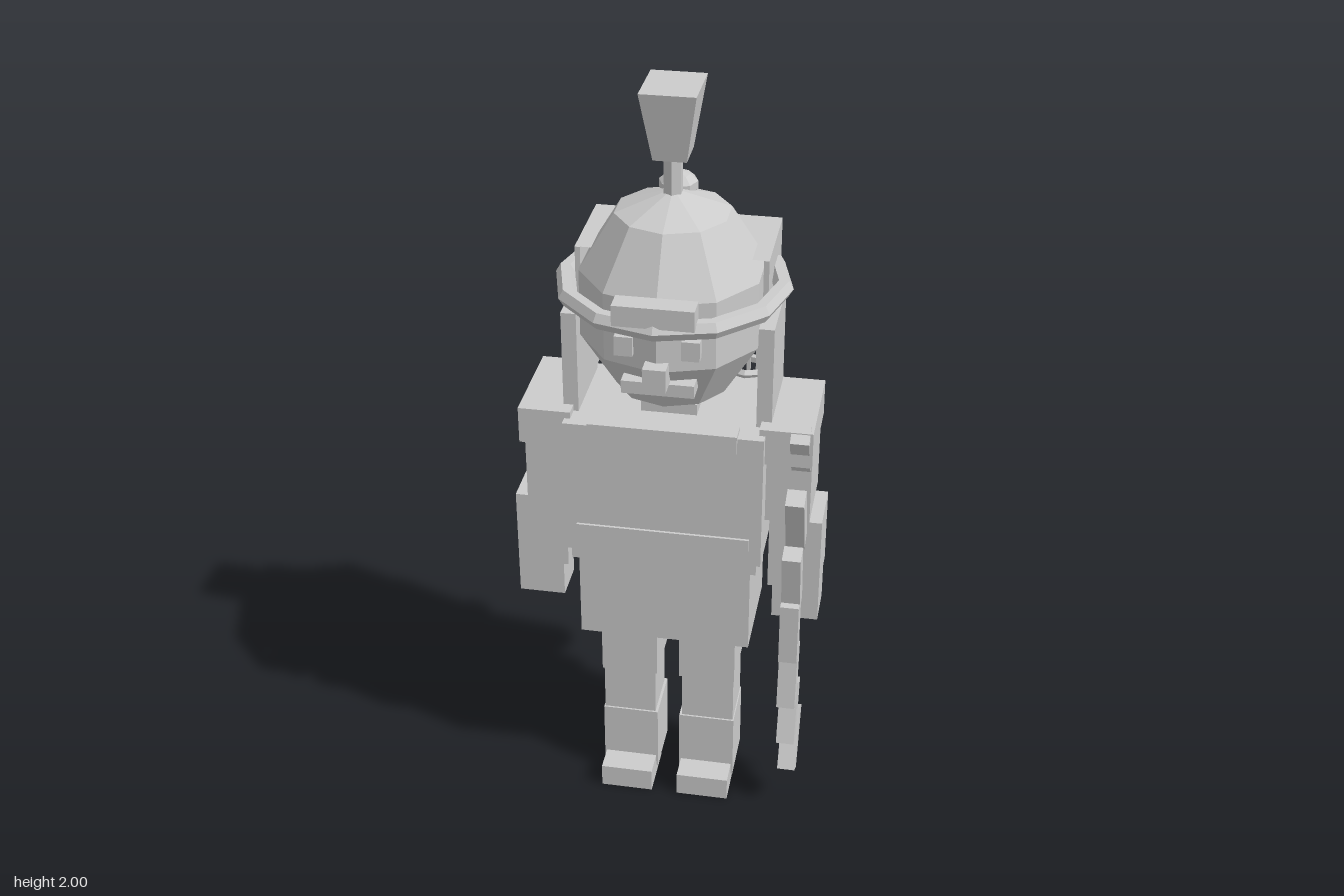
import * as THREE from 'three';

export function createModel() {
  const model = new THREE.Group();
  const grey = new THREE.MeshStandardMaterial({ color: 0xcccccc, flatShading: true });
  grey.name = 'light grey';

  function add(name, geometry, x = 0, y = 0, z = 0) {
    const mesh = new THREE.Mesh(geometry, grey);
    mesh.name = name;
    mesh.position.set(x, y, z);
    model.add(mesh);
    return mesh;
  }
  // box given by its limits on each axis
  function box(name, x0, x1, y0, y1, z0, z1) {
    return add(name, new THREE.BoxGeometry(x1 - x0, y1 - y0, z1 - z0),
      (x0 + x1) / 2, (y0 + y1) / 2, (z0 + z1) / 2);
  }
  // the same box on both sides of the body
  function pair(name, x0, x1, ...rest) {
    box(name + 'Left', x0, x1, ...rest);
    box(name + 'Right', -x1, -x0, ...rest);
  }

  // legs
  pair('foot', 0.035, 0.175, 0, 0.065, 0.005, 0.155);
  pair('shin', 0.03, 0.18, 0.03, 0.22, -0.065, 0.085);
  pair('knee', 0.037, 0.177, 0.22, 0.36, -0.06, 0.08);
  pair('thigh', 0.03, 0.18, 0.36, 0.54, -0.065, 0.09);

  // body
  box('skirt', -0.222, 0.222, 0.525, 0.8, -0.13, 0.145);
  box('waist', -0.238, 0.238, 0.765, 0.84, -0.138, 0.155);
  box('torso', -0.25, 0.25, 0.8, 1.17, -0.147, 0.165);
  box('belt', -0.22, 0.22, 0.842, 0.88, -0.152, 0.172);
  box('collar', -0.185, 0.185, 1.13, 1.18, 0.12, 0.175);
  box('neck', -0.07, 0.07, 1.16, 1.2, -0.06, 0.07);

  // arms
  pair('shoulder', 0.235, 0.367, 1.09, 1.187, -0.13, 0.14);
  pair('upperArm', 0.24, 0.363, 0.9, 1.09, -0.1, 0.1);
  pair('forearm', 0.262, 0.395, 0.7, 0.905, -0.05, 0.1);
  pair('hand', 0.275, 0.395, 0.605, 0.7, -0.01, 0.1);

  // head with domed helmet
  const headShape = new THREE.SphereGeometry(1, 10, 5);
  headShape.rotateY(Math.PI / 2);
  headShape.scale(0.24, 0.282, 0.24);
  add('head', headShape, 0, 1.462, 0.008);
  pair('eye', 0.058, 0.102, 1.41, 1.46, 0.18, 0.232);
  box('nose', -0.028, 0.028, 1.34, 1.4, 0.2, 0.27);
  box('mouth', -0.088, 0.088, 1.307, 1.34, 0.15, 0.225);

  // hair: an outward facing shell, open at the front and below
  pair('hairSide', 0.222, 0.235, 1.18, 1.587, -0.212, 0.035);
  const hairBack = add('hairBack', new THREE.PlaneGeometry(0.47, 0.407), 0, 1.3835, -0.214);
  hairBack.rotation.y = Math.PI;
  const hairTop = add('hairTop', new THREE.PlaneGeometry(0.47, 0.249), 0, 1.588, -0.0895);
  hairTop.rotation.x = -Math.PI / 2;
  pair('sideLock', 0.222, 0.26, 1.17, 1.44, -0.125, 0.1);

  // helmet brim, badge, neck guard, knob and plume
  const brim = new THREE.TorusGeometry(0.267, 0.024, 6, 8, Math.PI * 4 / 3);
  brim.rotateZ(-Math.PI / 6);
  brim.rotateX(Math.PI / 2);
  add('brim', brim, 0, 1.502, 0);
  box('badge', -0.097, 0.097, 1.513, 1.565, 0.225, 0.28);
  const guardProfile = [[0.23, 1.5], [0.285, 1.51], [0.28, 1.54], [0.215, 1.61], [0.195, 1.6], [0.23, 1.5]]
    .map(([r, y]) => new THREE.Vector2(r, y));
  add('neckGuard', new THREE.LatheGeometry(guardProfile, 2, Math.PI - 0.68, 1.36));
  const knob = add('knob', new THREE.SphereGeometry(0.05, 8, 5), 0, 1.725, -0.065);
  knob.scale.y = 0.65;
  add('plumeStem', new THREE.CylinderGeometry(0.024, 0.024, 0.12, 6), 0, 1.775, 0.008);
  const plume = new THREE.CylinderGeometry(Math.SQRT2, 0.6 * Math.SQRT2, 0.17, 4);
  plume.rotateY(Math.PI / 4);
  plume.scale(0.067, 1, 0.08);
  add('plume', plume, 0, 1.915, 0.008);

  // bow held in the left hand
  const bowDepth = [0.22, 0.21, 0.17, 0.1];
  for (let k = -3; k <= 3; k++) {
    const segment = add('bowSegment', new THREE.BoxGeometry(0.047, 0.172, 0.052),
      0.336, 0.655 + k * 0.151, bowDepth[Math.abs(k)]);
    segment.rotation.x = k * 0.17;
  }
  add('bowString', new THREE.CylinderGeometry(0.006, 0.006, 1.06, 5), 0.336, 0.655, 0.045);

  // quiver slung across the back, with its ring and arrows
  const quiverTop = new THREE.Vector3(0.05, 1.15, -0.18);
  const quiverEnd = new THREE.Vector3(0.175, 0.785, -0.235);
  const along = quiverTop.clone().sub(quiverEnd);
  const quiver = add('quiver', new THREE.CylinderGeometry(0.058, 0.058, along.length(), 6));
  quiver.position.copy(quiverTop).add(quiverEnd).multiplyScalar(0.5);
  quiver.quaternion.setFromUnitVectors(new THREE.Vector3(0, 1, 0), along.normalize());
  const ring = add('quiverRing', new THREE.TorusGeometry(0.06, 0.012, 5, 8), 0.16, 1.17, -0.2);
  ring.rotation.x = Math.PI / 2 - 0.15;
  for (let i = 0; i < 4; i++) {
    const x = 0.135 + i * 0.024;
    box('arrow', x - 0.005, x + 0.005, 1.15, 1.32, -0.226, -0.214);
  }
  return model;
}
